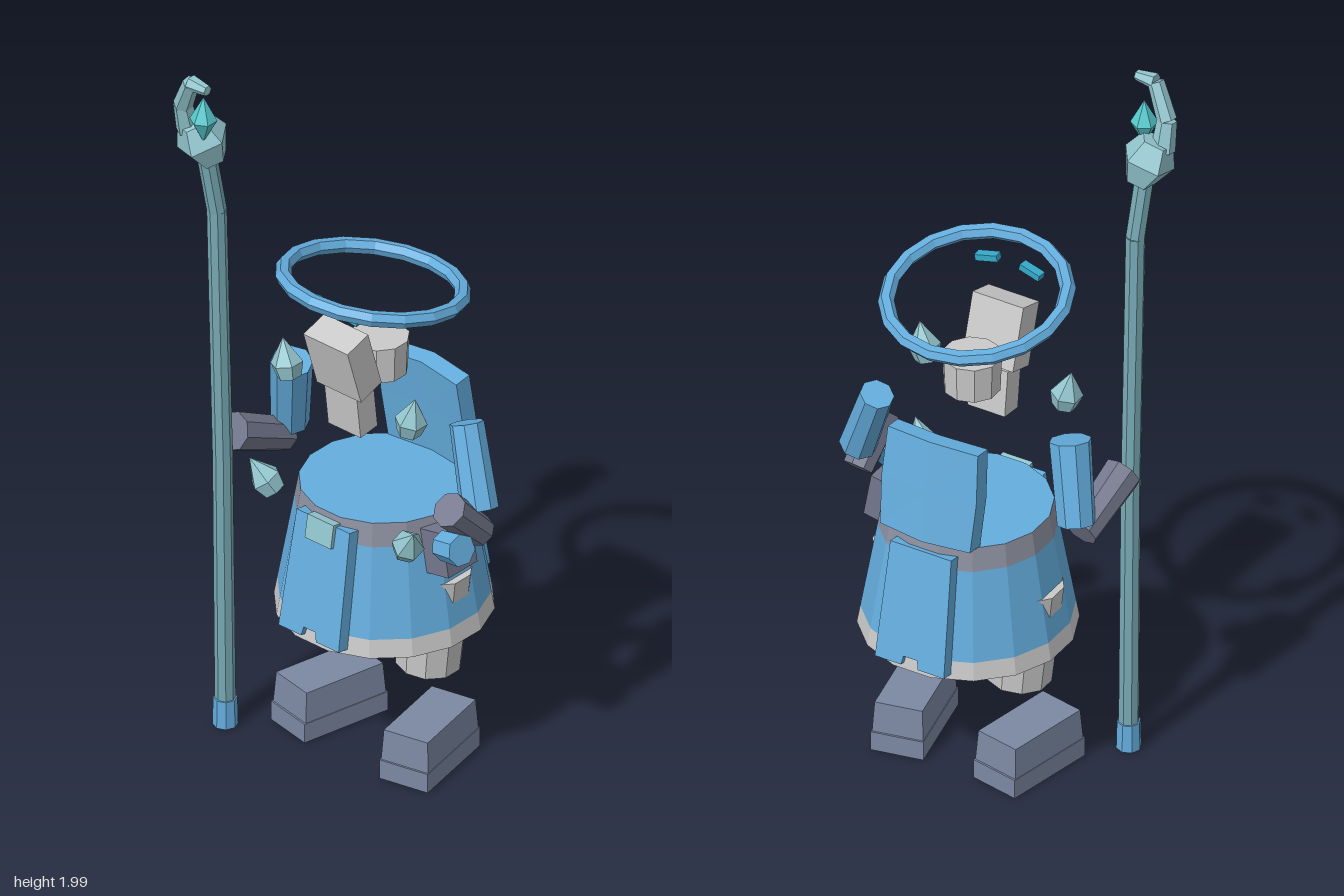
import * as THREE from 'three';

const mat = (name, color, side = THREE.FrontSide) => {
  const m = new THREE.MeshStandardMaterial({ color, flatShading: true, side });
  m.name = name;
  return m;
};

export function createModel() {
  const root = new THREE.Group();
  root.name = 'robedStaffBearer';
  const blue = mat('robe blue', 0x65aedf);
  const cloth = mat('pale cloth', 0xcacaca);
  const boot = mat('boot slate', 0x7c89a3);
  const glove = mat('glove slate', 0x73778c);
  const belt = mat('belt grey', 0x8c8f9f);
  const pole = mat('staff teal', 0x78aab5);
  const crystal = mat('pale crystal', 0x93c6cf);
  const gem = mat('gem teal', 0x55c9cd);
  const eye = mat('eye cyan', 0x35aaca);
  const CX = 0.02, CZ = -0.045; // body axis

  const add = (name, geo, material, pos = [0, 0, 0], rot = [0, 0, 0]) => {
    const m = new THREE.Mesh(geo, material);
    m.name = name;
    m.position.set(...pos);
    m.rotation.set(...rot);
    root.add(m);
    return m;
  };
  // Tapered cylinder running from point a to point b
  const rod = (name, a, b, ra, rb, sides, material) => {
    const A = new THREE.Vector3(...a), B = new THREE.Vector3(...b);
    const dir = B.clone().sub(A);
    const m = add(name, new THREE.CylinderGeometry(rb, ra, dir.length(), sides), material);
    m.position.copy(A).add(B).multiplyScalar(0.5);
    m.quaternion.setFromUnitVectors(new THREE.Vector3(0, 1, 0), dir.normalize());
    return m;
  };
  const chain = (name, pts, radii, sides, material) => {
    for (let i = 0; i < pts.length - 1; i++)
      rod(name + (i + 1), pts[i], pts[i + 1], radii[i], radii[i + 1], sides, material);
  };
  const lathe = (pts, sides) =>
    new THREE.LatheGeometry(pts.map(p => new THREE.Vector2(...p)), sides);

  // Skirt: hem, main cloth and belt, all on one slope
  const skirtR = y => 0.283 - (y - 0.405) * 0.175;
  const band = (name, y0, y1, material) =>
    add(name, new THREE.CylinderGeometry(skirtR(y1), skirtR(y0), y1 - y0, 16, 1, false, Math.PI / 16),
      material, [CX, (y0 + y1) / 2, CZ]);
  band('skirtHem', 0.405, 0.455, cloth);
  band('skirt', 0.455, 0.705, blue);
  band('belt', 0.705, 0.77, [belt, blue, belt]);

  // Hanging panels at front and back, notched at the bottom
  const shape = new THREE.Shape([
    [-0.09, 0.165], [0.09, 0.165], [0.102, -0.165], [0.025, -0.165],
    [0.02, -0.14], [-0.02, -0.14], [-0.025, -0.165], [-0.102, -0.165],
  ].map(p => new THREE.Vector2(...p)));
  for (const [name, turn] of [['frontPanel', 0], ['backPanel', Math.PI]]) {
    const geo = new THREE.ExtrudeGeometry(shape, { depth: 0.035, bevelEnabled: false });
    geo.translate(0, 0, -0.022);
    geo.rotateX(-0.171);
    geo.translate(0, 0.585, 0.249);
    geo.rotateY(turn);
    add(name, geo, blue, [CX, 0, CZ]);
  }
  add('buckle', new THREE.BoxGeometry(0.088, 0.066, 0.035), crystal, [CX, 0.723, 0.187], [-0.17, 0, 0]);
  add('pouch', new THREE.BoxGeometry(0.075, 0.125, 0.11), glove, [0.27, 0.69, -0.01], [0, 0, 0.18]);

  // Back plate, bulging outward in the middle
  const plate = new THREE.BoxGeometry(0.28, 0.28, 0.05, 2, 2, 1);
  const pp = plate.attributes.position;
  for (let i = 0; i < pp.count; i++) {
    const x = pp.getX(i), y = pp.getY(i);
    pp.setX(i, x * (1 - Math.abs(y) * 0.35));
    pp.setY(i, y * (1.02 - Math.abs(x) * 0.2));
    pp.setZ(i, pp.getZ(i) + (Math.abs(x) - 0.07) * 0.12);
  }
  add('backPlate', plate, blue, [CX, 0.912, -0.222], [0.14, 0, 0]);

  // Head core and beard
  add('head', new THREE.CylinderGeometry(0.078, 0.074, 0.1, 10), cloth, [CX, 1.157, -0.026]);
  add('beardUpper', new THREE.BoxGeometry(0.15, 0.175, 0.082), cloth, [CX, 1.203, 0.115], [0.3, 0, 0]);
  add('beardLower', new THREE.BoxGeometry(0.11, 0.13, 0.065), cloth, [CX, 1.052, 0.083], [0.12, 0, 0]);

  // Tilted ring above the head
  const ring = new THREE.TorusGeometry(0.232, 0.021, 6, 18);
  ring.rotateX(Math.PI / 2);
  ring.rotateY(Math.PI / 18);
  add('headRing', ring, blue, [CX, 1.375, -0.002], [-0.2, 0, 0]);

  // Paired parts, mirrored about the body axis
  for (const s of [-1, 1]) {
    const side = s > 0 ? 'left' : 'right';
    const X = d => CX + s * d;
    add(side + 'Eye', new THREE.BoxGeometry(0.063, 0.018, 0.025), eye, [X(0.065), 1.376, 0.16], [0, s * 0.1, -s * 0.2]);

    // Legs and boots
    rod(side + 'Leg', [X(0.15), 0.287, CZ], [X(0.175), 0.585, CZ], 0.086, 0.096, 10, cloth);
    add(side + 'BootSole', new THREE.BoxGeometry(0.142, 0.055, 0.265), boot, [X(0.17), 0.0275, -0.027], [0, s * 0.2, 0]);
    const top = new THREE.BoxGeometry(0.138, 0.088, 0.255);
    const tp = top.attributes.position;
    for (let i = 0; i < tp.count; i++)
      if (tp.getY(i) > 0) tp.setXYZ(i, tp.getX(i) * 0.93, tp.getY(i), tp.getZ(i) * 0.95);
    add(side + 'Boot', top, boot, [X(0.17), 0.097, -0.027], [0, s * 0.2, 0]);

    // Shoulder and hip crystals
    const shard = () => lathe([[0, -0.055], [0.032, -0.045], [0.043, -0.005], [0, 0.065]], 6);
    add(side + 'ShoulderCrystal', shard(), crystal, [X(0.212), 1.098, 0.09], [0, 0, -s * 0.2]);
    add(side + 'HipCrystal', shard(), crystal, [X(0.245), 0.758, 0.138], [0.35, 0, -s * 0.55]);
  }

  // Arms: one raised to the staff, one bent at the side
  rod('rightUpperArm', [-0.255, 1.025, 0], [-0.3, 0.81, -0.045], 0.055, 0.05, 8, blue);
  rod('rightForearm', [-0.305, 0.775, -0.03], [-0.32, 0.86, 0.15], 0.045, 0.052, 8, glove);
  rod('leftUpperArm', [0.27, 1.025, -0.078], [0.352, 0.82, -0.035], 0.045, 0.05, 8, blue);
  rod('leftForearm', [0.35, 0.75, -0.04], [0.342, 0.862, 0.07], 0.042, 0.048, 8, glove);
  rod('leftHand', [0.32, 0.745, 0.065], [0.392, 0.765, 0.078], 0.04, 0.043, 7, blue);

  // Staff with a forward bend near the top
  chain('staffPole', [[-0.32, 0.06, 0.18], [-0.32, 0.8, 0.19], [-0.322, 1.55, 0.21], [-0.335, 1.74, 0.238]],
    [0.027, 0.026, 0.026, 0.026], 8, pole);
  rod('staffFoot', [-0.32, 0, 0.18], [-0.32, 0.08, 0.18], 0.033, 0.031, 8, blue);
  add('staffHead', lathe([[0, -0.075], [0.04, -0.065], [0.073, 0], [0.045, 0.06], [0, 0.065]], 5),
    crystal, [-0.338, 1.77, 0.245], [0.2, 0.3, 0.3]);
  chain('staffHook', [[-0.37, 1.8, 0.265], [-0.37, 1.88, 0.285], [-0.325, 1.972, 0.305], [-0.268, 1.972, 0.306]],
    [0.032, 0.026, 0.022, 0.014], 6, crystal);
  add('staffGem', lathe([[0, -0.067], [0.036, 0], [0, 0.067]], 6), gem, [-0.307, 1.858, 0.278]);

  return root;
}
